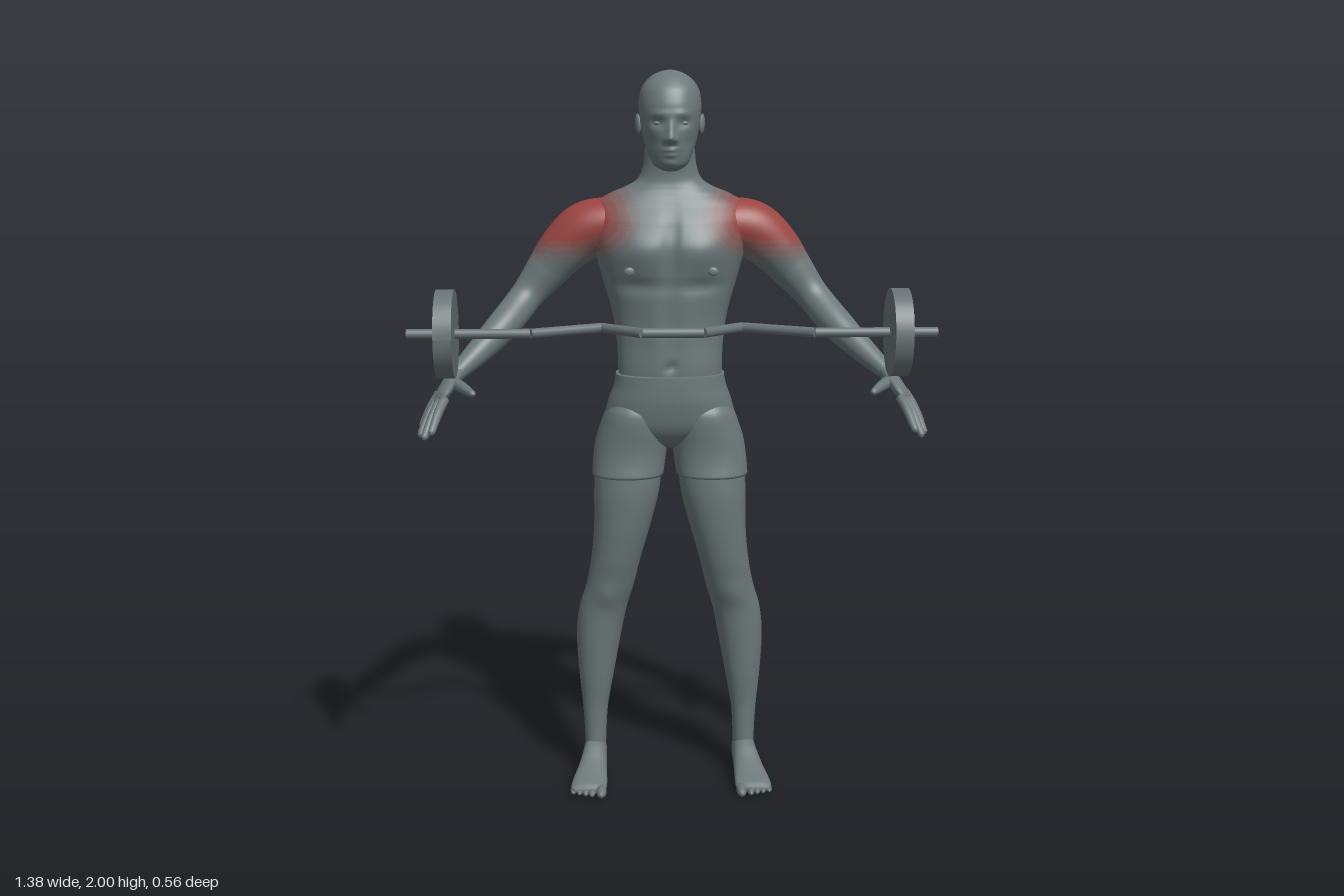
import * as THREE from 'three';

const V = (x, y, z) => new THREE.Vector3(x, y, z);
const mat = (name, color) => {
  const m = new THREE.MeshStandardMaterial({ color });
  m.name = name;
  return m;
};

// Closed smooth surface through a list of equal rings
function skin(rings, flip) {
  const n = rings[0].length, pos = [], idx = [];
  const tri = (a, b, c) => (flip ? idx.push(a, c, b) : idx.push(a, b, c));
  rings.flat().forEach(p => pos.push(p.x, p.y, p.z));
  for (let j = 0; j < rings.length - 1; j++)
    for (let i = 0; i < n; i++) {
      const a = j * n + i, b = j * n + (i + 1) % n;
      tri(a, b, a + n);
      tri(b, b + n, a + n);
    }
  [0, rings.length - 1].forEach((j, end) => {
    const c = rings[j].reduce((s, p) => s.add(p), V(0, 0, 0)).divideScalar(n);
    const k = pos.length / 3;
    pos.push(c.x, c.y, c.z);
    for (let i = 0; i < n; i++) {
      const a = j * n + i, b = j * n + (i + 1) % n;
      end ? tri(k, a, b) : tri(k, b, a);
    }
  });
  const g = new THREE.BufferGeometry();
  g.setAttribute('position', new THREE.Float32BufferAttribute(pos, 3));
  g.setIndex(idx);
  g.computeVertexNormals();
  return g;
}

// Rows [t, a0, a1, b0, b1]: rounded sections stacked along y (or along z for feet)
function loft(rows, { n = 48, sub = 6, pow = 0.85, alongZ = false } = {}) {
  const A = new THREE.CatmullRomCurve3(rows.map(r => V(r[0], r[1], r[2])));
  const B = new THREE.CatmullRomCurve3(rows.map(r => V(r[3], r[4], 0)));
  const steps = (rows.length - 1) * sub, rings = [];
  const sp = v => Math.sign(v) * Math.abs(v) ** pow;
  for (let j = 0; j <= steps; j++) {
    const p = A.getPoint(j / steps), q = B.getPoint(j / steps);
    rings.push(Array.from({ length: n }, (_, i) => {
      const t = i / n * Math.PI * 2;
      const a = (p.y + p.z) / 2 + (p.z - p.y) / 2 * sp(Math.cos(t));
      const b = (q.x + q.y) / 2 + (q.y - q.x) / 2 * sp(Math.sin(t));
      return alongZ ? V(a, b, p.x) : V(a, p.x, b);
    }));
  }
  return skin(rings, !alongZ);
}

// Points [x, y, z, ra, rb]: elliptical tube, ra measured along the width direction
function limb(pts, width = V(0, 0, 1), n = 20, sub = 6) {
  const P = new THREE.CatmullRomCurve3(pts.map(p => V(p[0], p[1], p[2])));
  const R = new THREE.CatmullRomCurve3(pts.map(p => V(p[3], p[4] ?? p[3], 0)));
  const steps = (pts.length - 1) * sub, rings = [];
  for (let j = 0; j <= steps; j++) {
    const c = P.getPoint(j / steps), r = R.getPoint(j / steps), T = P.getTangent(j / steps);
    const U = width.clone().addScaledVector(T, -width.dot(T)).normalize();
    const W = T.clone().cross(U);
    rings.push(Array.from({ length: n }, (_, i) => {
      const t = i / n * Math.PI * 2;
      return c.clone().addScaledVector(U, r.x * Math.cos(t)).addScaledVector(W, r.y * Math.sin(t));
    }));
  }
  return skin(rings, false);
}

// Soft swellings and hollows [x, y, z, rx, ry, rz, dx, dz], mirrored when x is not 0
function sculpt(g, bumps) {
  const p = g.attributes.position;
  for (let i = 0; i < p.count; i++) {
    const v = V().fromBufferAttribute(p, i), o = v.clone();
    for (const [x, y, z, rx, ry, rz, dx, dz] of bumps)
      for (const s of x ? [1, -1] : [1]) {
        const w = Math.exp(-(((v.x - s * x) / rx) ** 2 + ((v.y - y) / ry) ** 2 + ((v.z - z) / rz) ** 2));
        o.x += s * dx * w;
        o.z += dz * w;
      }
    p.setXYZ(i, o.x, o.y, o.z);
  }
  g.computeVertexNormals();
  return g;
}

function mirror(g) {
  const m = g.clone().scale(-1, 1, 1), ix = m.index.array;
  for (let i = 0; i < ix.length; i += 3) [ix[i], ix[i + 1]] = [ix[i + 1], ix[i]];
  m.computeVertexNormals();
  return m;
}

// Sort faces into material groups that fade down the arm and in towards the chest
function tintShoulders(g) {
  const p = g.attributes.position, ix = g.index.array, sets = [[], [], [], [], []];
  for (let i = 0; i < ix.length; i += 3) {
    const f = [ix[i], ix[i + 1], ix[i + 2]];
    const x = f.reduce((s, k) => s + Math.abs(p.getX(k)), 0) / 3;
    const y = f.reduce((s, k) => s + p.getY(k), 0) / 3;
    const d = Math.hypot(Math.max(0, 0.25 - x) / 0.165, (y - 1.605) / (y > 1.605 ? 0.14 : 0.11));
    sets[[0.52, 0.68, 0.84, 1].filter(limit => d < limit).length].push(...f);
  }
  g.setIndex(sets.flat());
  let start = 0;
  sets.forEach((s, k) => { g.addGroup(start, s.length, k); start += s.length; });
  return g;
}

export function createModel() {
  const root = new THREE.Group();
  const grey = mat('bodyGrey', 0x6c7879), steel = mat('barGrey', 0x687274);
  const tints = [grey, mat('faintRed', 0x756f6f), mat('softRed', 0x7f6261), mat('midRed', 0x8b5451), mat('shoulderRed', 0x9a4541)];
  const add = (name, g, m = grey) => {
    const mesh = new THREE.Mesh(g, m);
    mesh.name = name;
    root.add(mesh);
    return mesh;
  };
  const pair = (name, g, m) => { add(name + 'Left', g, m); add(name + 'Right', mirror(g), m); };
  const sym = rows => rows.map(([y, w, b, f]) => [y, -w, w, b, f]);
  const ball = (x, y, z, sx, sy, sz) => new THREE.SphereGeometry(1, 16, 12).scale(sx, sy, sz).translate(x, y, z);

  // Torso and neck
  const torso = loft(sym([
    [1.14, 0.142, -0.2, -0.015], [1.2, 0.143, -0.205, -0.012], [1.27, 0.146, -0.218, -0.014],
    [1.35, 0.158, -0.245, -0.012], [1.45, 0.185, -0.264, 0], [1.53, 0.207, -0.266, 0.006],
    [1.6, 0.218, -0.262, -0.014], [1.64, 0.208, -0.248, -0.04], [1.67, 0.165, -0.234, -0.056],
    [1.69, 0.118, -0.222, -0.064], [1.712, 0.086, -0.208, -0.068], [1.745, 0.073, -0.194, -0.066],
    [1.8, 0.066, -0.186, -0.06], [1.84, 0.056, -0.175, -0.07]]), { n: 96, sub: 8 });
  sculpt(torso, [
    [0.085, 1.52, 0, 0.065, 0.05, 0.08, 0, 0.013],
    [0, 1.53, 0, 0.014, 0.09, 0.06, 0, -0.014],
    [0.09, 1.43, 0, 0.07, 0.018, 0.06, 0, -0.01],
    [0.04, 1.32, -0.01, 0.028, 0.1, 0.05, 0, 0.006],
    [0, 1.21, -0.01, 0.01, 0.012, 0.03, 0, -0.012],
    [0.09, 1.56, -0.26, 0.045, 0.08, 0.06, 0, -0.018],
    [0, 1.42, -0.25, 0.025, 0.24, 0.07, 0, 0.022],
    [0, 1.58, -0.25, 0.04, 0.08, 0.06, 0, 0.01],
    [0.16, 1.45, -0.2, 0.05, 0.07, 0.06, 0.008, -0.004]]);
  add('torso', tintShoulders(torso), tints);
  pair('nipple', ball(0.112, 1.472, 0.001, 0.014, 0.012, 0.006));

  // Head with face
  const head = loft(sym([
    [1.735, 0.018, -0.09, -0.035], [1.75, 0.044, -0.13, -0.014], [1.78, 0.06, -0.172, -0.004],
    [1.82, 0.072, -0.196, 0.002], [1.87, 0.081, -0.216, 0.004], [1.91, 0.084, -0.221, 0.001],
    [1.95, 0.077, -0.209, -0.014], [1.98, 0.054, -0.178, -0.045], [1.995, 0.026, -0.142, -0.078],
    [2, 0.002, -0.11, -0.1]]), { n: 96, sub: 8, pow: 0.92 });
  sculpt(head, [
    [0, 1.823, 0, 0.013, 0.013, 0.04, 0, 0.02],
    [0, 1.845, 0, 0.01, 0.022, 0.04, 0, 0.01],
    [0.012, 1.817, 0, 0.008, 0.008, 0.03, 0, 0.007],
    [0.034, 1.862, -0.01, 0.019, 0.012, 0.04, 0, -0.011],
    [0.032, 1.886, 0, 0.025, 0.009, 0.04, 0, 0.004],
    [0, 1.792, 0, 0.02, 0.006, 0.03, 0, 0.008],
    [0, 1.778, 0, 0.018, 0.006, 0.03, 0, 0.007],
    [0, 1.756, -0.01, 0.022, 0.012, 0.03, 0, 0.005],
    [0.05, 1.81, -0.02, 0.02, 0.025, 0.04, 0, -0.006]]);
  add('head', head);
  pair('eye', ball(0.034, 1.862, -0.021, 0.013, 0.007, 0.01));
  pair('ear', ball(0, 0, 0, 0.007, 0.027, 0.015).rotateX(-0.2).rotateY(-0.35).translate(0.086, 1.858, -0.107));

  // Arms
  pair('arm', tintShoulders(limb([
    [0.09, 1.575, -0.148, 0.09, 0.06], [0.16, 1.586, -0.147, 0.094, 0.072], [0.225, 1.572, -0.14, 0.083, 0.078],
    [0.285, 1.525, -0.135, 0.068, 0.07], [0.335, 1.465, -0.137, 0.057, 0.058], [0.395, 1.39, -0.122, 0.046, 0.045],
    [0.45, 1.325, -0.06, 0.048, 0.044], [0.515, 1.262, 0.015, 0.037, 0.034], [0.57, 1.213, 0.08, 0.027, 0.023],
    [0.585, 1.198, 0.1, 0.026, 0.02]], V(0, 0, 1), 48, 10)), tints);

  // Hands: palm, four fingers and thumb
  pair('palm', limb([[0.568, 1.216, 0.078, 0.024, 0.02], [0.588, 1.19, 0.115, 0.037, 0.018],
    [0.606, 1.162, 0.155, 0.044, 0.016], [0.613, 1.15, 0.17, 0.036, 0.01]], V(-0.25, 0.1, 1)));
  [[[0.612, 1.168, 0.128], [0.655, 1.09, 0.162]], [[0.614, 1.158, 0.15], [0.656, 1.073, 0.202]],
    [[0.606, 1.157, 0.174], [0.642, 1.073, 0.242]], [[0.594, 1.162, 0.188], [0.62, 1.092, 0.272]]].forEach(([a, b], i) => {
    const mid = a.map((v, k) => (v + b[k]) / 2 + (k === 1 ? 0.006 : 0));
    pair('finger' + (i + 1), limb([[...a, 0.013], [...mid, 0.012], [...b, 0.009],
      [...b.map((v, k) => v + (v - mid[k]) * 0.12), 0.002]], V(0, 0.3, 1), 12, 4));
  });
  pair('thumb', limb([[0.578, 1.195, 0.115, 0.017], [0.55, 1.19, 0.16, 0.015], [0.53, 1.186, 0.2, 0.012],
    [0.517, 1.184, 0.228, 0.009], [0.514, 1.183, 0.235, 0.002]], V(0, 1, 0), 12, 4));

  // Legs with kneecaps
  pair('leg', sculpt(loft([
    [0.03, 0.186, 0.246, -0.204, -0.115], [0.1, 0.184, 0.245, -0.198, -0.12], [0.2, 0.178, 0.25, -0.197, -0.118],
    [0.3, 0.16, 0.26, -0.22, -0.105], [0.42, 0.138, 0.266, -0.237, -0.094], [0.5, 0.122, 0.257, -0.222, -0.086],
    [0.57, 0.102, 0.237, -0.204, -0.07], [0.65, 0.083, 0.222, -0.198, -0.05], [0.75, 0.055, 0.213, -0.2, -0.033],
    [0.85, 0.03, 0.212, -0.206, -0.024], [0.93, 0.022, 0.208, -0.21, -0.026]], { pow: 0.95 }), [
    [0.18, 0.55, -0.075, 0.03, 0.035, 0.03, 0, 0.006]]));

  // Feet and toes
  pair('foot', loft([
    [-0.211, 0.2, 0.23, 0.015, 0.05], [-0.2, 0.186, 0.244, 0.004, 0.085], [-0.16, 0.182, 0.248, 0.001, 0.11],
    [-0.11, 0.182, 0.254, 0.003, 0.098], [-0.06, 0.182, 0.266, 0.004, 0.068], [-0.01, 0.181, 0.279, 0.002, 0.045],
    [0.025, 0.183, 0.282, 0.003, 0.032], [0.04, 0.19, 0.272, 0.008, 0.022]], { n: 32, alongZ: true }));
  for (let i = 0; i < 5; i++) {
    const r = i ? 0.0105 - i * 0.0005 : 0.0145;
    pair('toe' + (i + 1), ball(i ? 0.206 + i * 0.0175 : 0.197, r + 0.001, 0.044 - i * 0.007, r, r + 0.001, i ? 0.026 : 0.034));
  }

  // Shorts: pelvis and two short legs with a slight lip at the hems
  const pelvis = loft(sym([
    [0.975, 0.03, -0.19, -0.085], [0.998, 0.1, -0.225, -0.05], [1.045, 0.18, -0.248, -0.021],
    [1.1, 0.172, -0.244, -0.009], [1.15, 0.155, -0.222, -0.006], [1.184, 0.149, -0.21, -0.006]]), { n: 96, sub: 8 });
  add('shortsPelvis', sculpt(pelvis, [
    [0.085, 1.045, -0.25, 0.06, 0.045, 0.06, 0, -0.012],
    [0, 1.03, -0.25, 0.016, 0.07, 0.08, 0, 0.03]]));
  pair('shortsLeg', loft([
    [0.897, 0.018, 0.217, -0.214, -0.018], [0.94, 0.012, 0.214, -0.228, -0.024], [0.99, 0.006, 0.207, -0.25, -0.024],
    [1.03, 0.006, 0.195, -0.254, -0.02], [1.075, 0.015, 0.178, -0.236, -0.02], [1.12, 0.04, 0.15, -0.2, -0.05]], { pow: 0.88 }));

  // Cranked bar made from straight lengths, with one disc at each end
  const path = [[-0.69, 0.16], [-0.37, 0.16], [-0.185, 0.055], [-0.08, 0.16], [0.08, 0.16], [0.185, 0.055], [0.37, 0.16], [0.69, 0.16]];
  for (let i = 0; i < path.length - 1; i++) {
    const a = V(path[i][0], 1.33, path[i][1]), b = V(path[i + 1][0], 1.33, path[i + 1][1]);
    const bar = add('barLength' + (i + 1), new THREE.CylinderGeometry(0.013, 0.013, a.distanceTo(b), 20), steel);
    bar.position.copy(a).lerp(b, 0.5);
    bar.quaternion.setFromUnitVectors(V(0, 1, 0), b.sub(a).normalize());
  }
  pair('weightDisc', new THREE.CylinderGeometry(0.115, 0.115, 0.047, 48).rotateZ(Math.PI / 2).translate(0.588, 1.33, 0.16), steel);
  return root;
}
